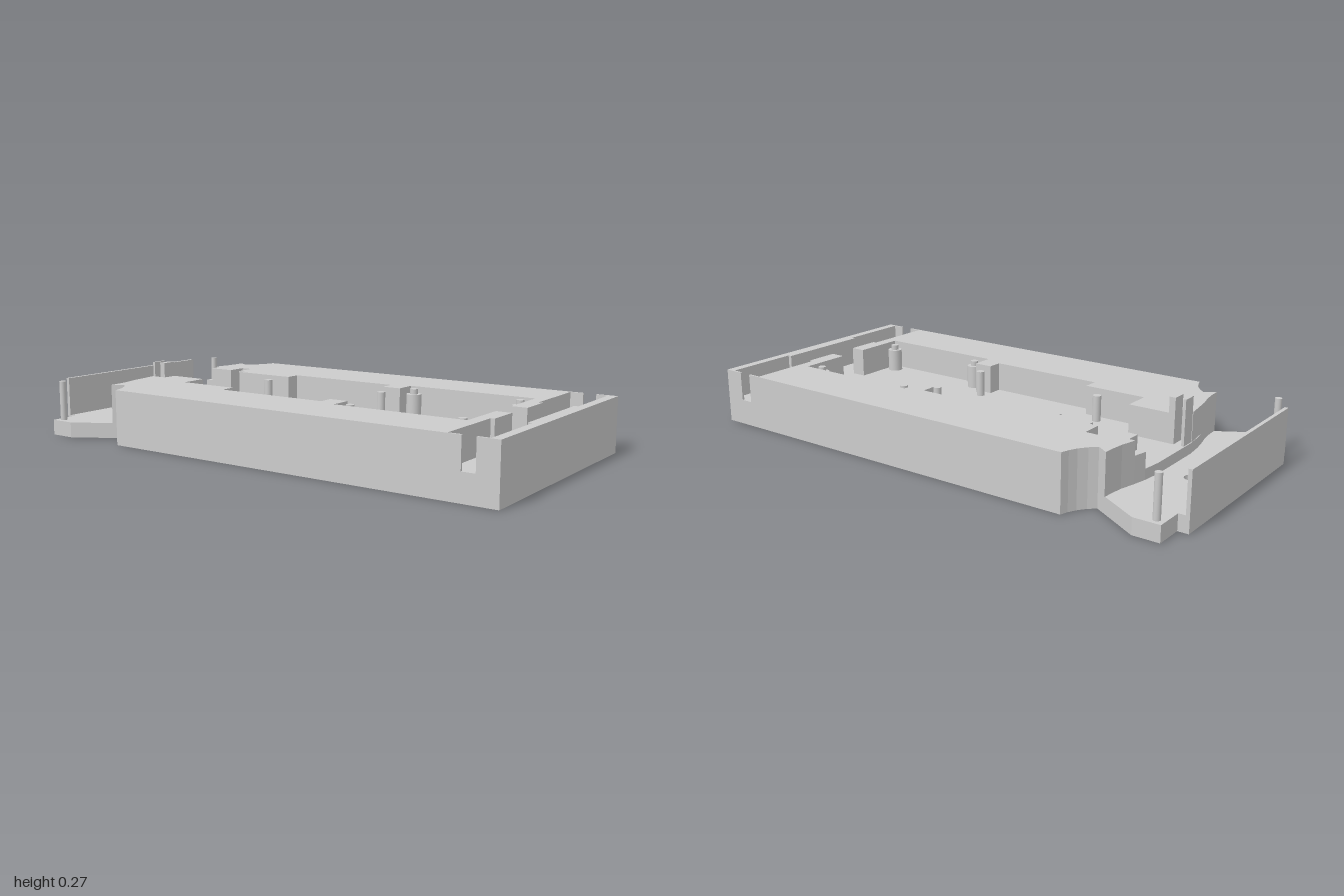
import * as THREE from 'three';

const mat = new THREE.MeshStandardMaterial({ color: 0xcccccc });

export function createModel() {
  const group = new THREE.Group();

  const add = (name, geo, x = 0, y = 0, z = 0) => {
    const mesh = new THREE.Mesh(geo, mat);
    mesh.name = name;
    mesh.position.set(x, y, z);
    group.add(mesh);
  };

  // Vertical prism over a plan outline of [x, z] points
  const prism = (name, pts, y0, y1, holes = []) => {
    const shape = new THREE.Shape(pts.map(([x, z]) => new THREE.Vector2(x, -z)));
    for (const [x, z, r] of holes) shape.holes.push(new THREE.Path().absarc(x, -z, r, 0, Math.PI * 2, true));
    const geo = new THREE.ExtrudeGeometry(shape, { depth: y1 - y0, bevelEnabled: false, curveSegments: 12 });
    geo.rotateX(-Math.PI / 2);
    add(name, geo, 0, y0, 0);
  };
  const box = (name, x0, x1, y0, y1, z0, z1) =>
    add(name, new THREE.BoxGeometry(x1 - x0, y1 - y0, z1 - z0), (x0 + x1) / 2, (y0 + y1) / 2, (z0 + z1) / 2);
  const post = (name, x, z, r, y0, y1) =>
    add(name, new THREE.CylinderGeometry(r, r, y1 - y0, 20), x, (y0 + y1) / 2, z);

  const flip = (pts) => pts.map(([x, z]) => [-x, z]);
  const mirrored = (pts) => [...pts, ...flip(pts).reverse()];

  const plateY = 0.06, floorY = 0.1, topY = 0.213;

  // Plan curves on the +x side
  const waist = [[0.485, -0.6], [0.455, -0.609], [0.425, -0.623], [0.395, -0.645], [0.372, -0.67]];
  const rear = [[0.4, -0.712], [0.36, -0.713], [0.31, -0.719], [0.25, -0.733], [0.195, -0.744]];

  // Base plate with its rear ears and two through holes
  prism('basePlate', mirrored([
    [0.485, 1], ...waist, [0.485, -0.86], [0.485, -0.96], [0.375, -0.96], [0.375, -1],
  ]), 0, plateY, [[-0.083, -0.86, 0.027], [0.083, -0.86, 0.027]]);

  // Cavity floor
  prism('cavityFloor', mirrored([[0.485, 1], ...waist, ...rear, [0.12, -0.752]]), plateY, floorY);

  // Side bodies around the stepped cavity
  const frontSteps = [
    [0.06, 0.775], [0.06, 0.835], [0.19, 0.835], [0.19, 0.82],
    [0.477, 0.82], [0.477, 0.87], [0.485, 0.87],
  ];
  prism('leftBody', [
    ...waist, ...rear.slice(0, 4), [0.25, -0.71], [0.195, -0.71],
    [0.195, -0.605], [0.275, -0.605], [0.275, -0.558], [0.195, -0.558], [0.195, -0.525],
    [0.175, -0.525], [0.175, -0.278], [0.235, -0.278], [0.235, 0.18], [0.178, 0.18],
    [0.178, 0.255], [0.26, 0.255], [0.26, 0.775], ...frontSteps,
  ], floorY, topY);
  prism('rightBody', [
    ...flip([...waist, ...rear.slice(0, 4)]), [-0.13, -0.75], [-0.13, -0.69], [-0.073, -0.69],
    [-0.073, -0.525], [-0.18, -0.525], [-0.18, -0.278], [-0.238, -0.278], [-0.238, 0.18],
    [-0.18, 0.18], [-0.18, 0.255], [-0.265, 0.255], [-0.265, 0.775], ...flip(frontSteps),
  ], floorY, topY);

  // Low shelf beside the rear opening
  prism('rearShelf', [[0.195, -0.71], [0.25, -0.71], [0.25, -0.733], [0.195, -0.744]], floorY, 0.16);

  // Front wall, leaving a notch at each side
  prism('frontWall', mirrored([
    [0.485, 1], [0.485, 0.92], [0.477, 0.92], [0.477, 0.965], [0.19, 0.965], [0.19, 0.95],
  ]), floorY, topY);

  // Pair of raised tabs at the rear opening
  box('innerTab', -0.13, -0.073, floorY, 0.272, -0.708, -0.684);
  box('outerTab', -0.13, -0.073, floorY, 0.272, -0.748, -0.738);

  // Rear upright panel
  box('rearPanel', -0.375, 0.375, plateY, topY, -1, -0.986);

  for (const s of [-1, 1]) {
    post('rearPin', s * 0.457, -0.93, 0.013, plateY, 0.216);
    for (const z of [-0.352, 0.197]) {
      post('thinPost', s * 0.136, z, 0.016, floorY, 0.2);
    }
    // Stepped standoffs
    for (const z of [0.293, 0.735]) {
      post('standoff', s * 0.22, z, 0.029, floorY, 0.19);
      post('standoffPin', s * 0.22, z, 0.015, 0.19, 0.21);
    }
  }

  return group;
}
